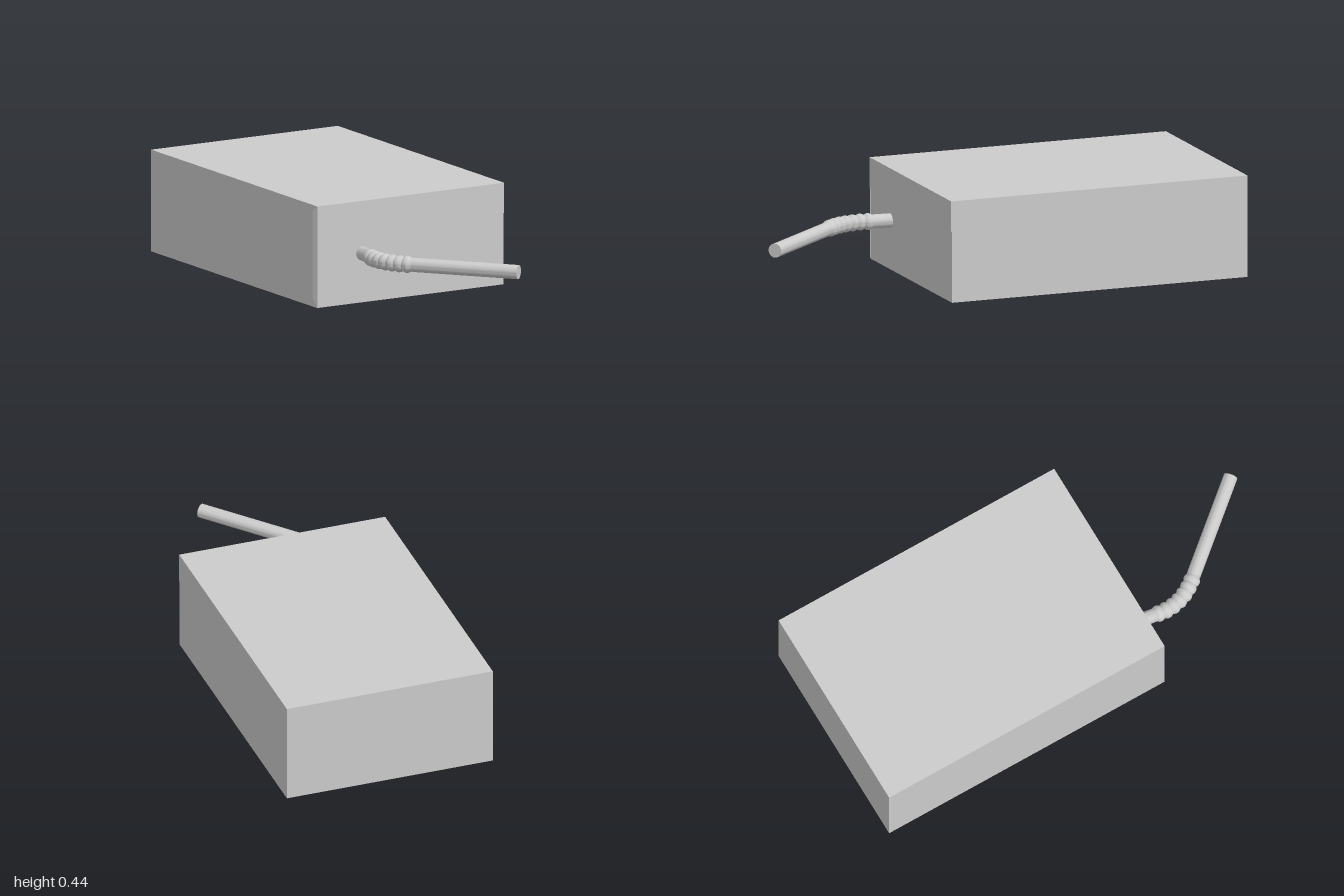
import * as THREE from 'three';
import { toCreasedNormals } from 'three/addons/utils/BufferGeometryUtils.js';

const W = 0.915, H = 0.435, BACK = -0.668, FRONT = 0.66;

function add(parent, name, geometry, side = THREE.FrontSide) {
  const mesh = new THREE.Mesh(geometry, new THREE.MeshStandardMaterial({ color: 0xcccccc, side }));
  mesh.name = name;
  parent.add(mesh);
  return mesh;
}

function boxPart(parent, name, y0, y1, z0, z1) {
  const mesh = add(parent, name, new THREE.BoxGeometry(W, y1 - y0, z1 - z0));
  mesh.position.set(0, (y0 + y1) / 2, (z0 + z1) / 2);
}

// Folded side flap: a panel tapering towards the back and standing slightly off the carton
function flapGeometry() {
  const sections = [ // x, z, bottom y, top y
    [-W / 2, 0.667, 0, H],
    [-W / 2 - 0.008, 0.64, 0.04, 0.41],
    [-W / 2 - 0.01, 0.432, 0.21, 0.295],
  ];
  const positions = [];
  for (let i = 0; i < sections.length - 1; i++) {
    const [ax, az, a0, a1] = sections[i], [bx, bz, b0, b1] = sections[i + 1];
    positions.push(ax, a0, az, ax, a1, az, bx, b1, bz, ax, a0, az, bx, b1, bz, bx, b0, bz);
  }
  const geometry = new THREE.BufferGeometry();
  geometry.setAttribute('position', new THREE.Float32BufferAttribute(positions, 3));
  geometry.computeVertexNormals();
  return geometry;
}

// Bendy straw: a ribbed lathe profile bent along a path
function strawGeometry() {
  const y = 0.21, p = (x, z) => new THREE.Vector3(x, y, z);
  const path = new THREE.CurvePath();
  path.add(new THREE.LineCurve3(p(0.03, 0.485), p(0.06, 0.6)));
  path.add(new THREE.QuadraticBezierCurve3(p(0.06, 0.6), p(0.086, 0.696), p(0.19, 0.75)));
  path.add(new THREE.LineCurve3(p(0.19, 0.75), p(0.62, 0.972)));
  const length = path.getLength(), ribStart = 0.09, ribEnd = 0.335, ribs = 7;

  const profile = [new THREE.Vector2(0, 0), new THREE.Vector2(0.03, 0)];
  const steps = ribs * 8;
  for (let i = 0; i <= steps; i++) {
    const r = 0.029 + 0.007 * Math.abs(Math.sin(Math.PI * ribs * i / steps));
    profile.push(new THREE.Vector2(r, ribStart + (ribEnd - ribStart) * i / steps));
  }
  profile.push(new THREE.Vector2(0.03, ribEnd + 0.01), new THREE.Vector2(0.03, length), new THREE.Vector2(0, length));

  const geometry = new THREE.LatheGeometry(profile, 24);
  const pos = geometry.attributes.position, v = new THREE.Vector3(), up = new THREE.Vector3(0, 1, 0);
  for (let i = 0; i < pos.count; i++) {
    v.fromBufferAttribute(pos, i);
    const u = THREE.MathUtils.clamp(v.y / length, 0, 1);
    const side = path.getTangentAt(u).cross(up).normalize();
    const q = path.getPointAt(u).addScaledVector(side, v.x).addScaledVector(up, v.z);
    pos.setXYZ(i, q.x, q.y, q.z);
  }
  return toCreasedNormals(geometry, 0.9);
}

export function createModel() {
  const model = new THREE.Group();
  model.name = 'drinkCarton';

  // Carton lying flat and turned on the ground
  const carton = new THREE.Group();
  carton.name = 'carton';
  carton.rotation.y = Math.PI / 8;
  carton.position.set(-0.004, 0, -0.208);
  model.add(carton);
  boxPart(carton, 'cartonBody', 0, H, BACK, FRONT);
  boxPart(carton, 'lowerEndPanel', 0, 0.305, FRONT, FRONT + 0.004);
  boxPart(carton, 'foldedEndPanel', 0.305, H, FRONT, FRONT + 0.008);
  add(carton, 'sideFlap', flapGeometry(), THREE.DoubleSide);

  // Straw
  add(model, 'straw', strawGeometry());
  return model;
}
